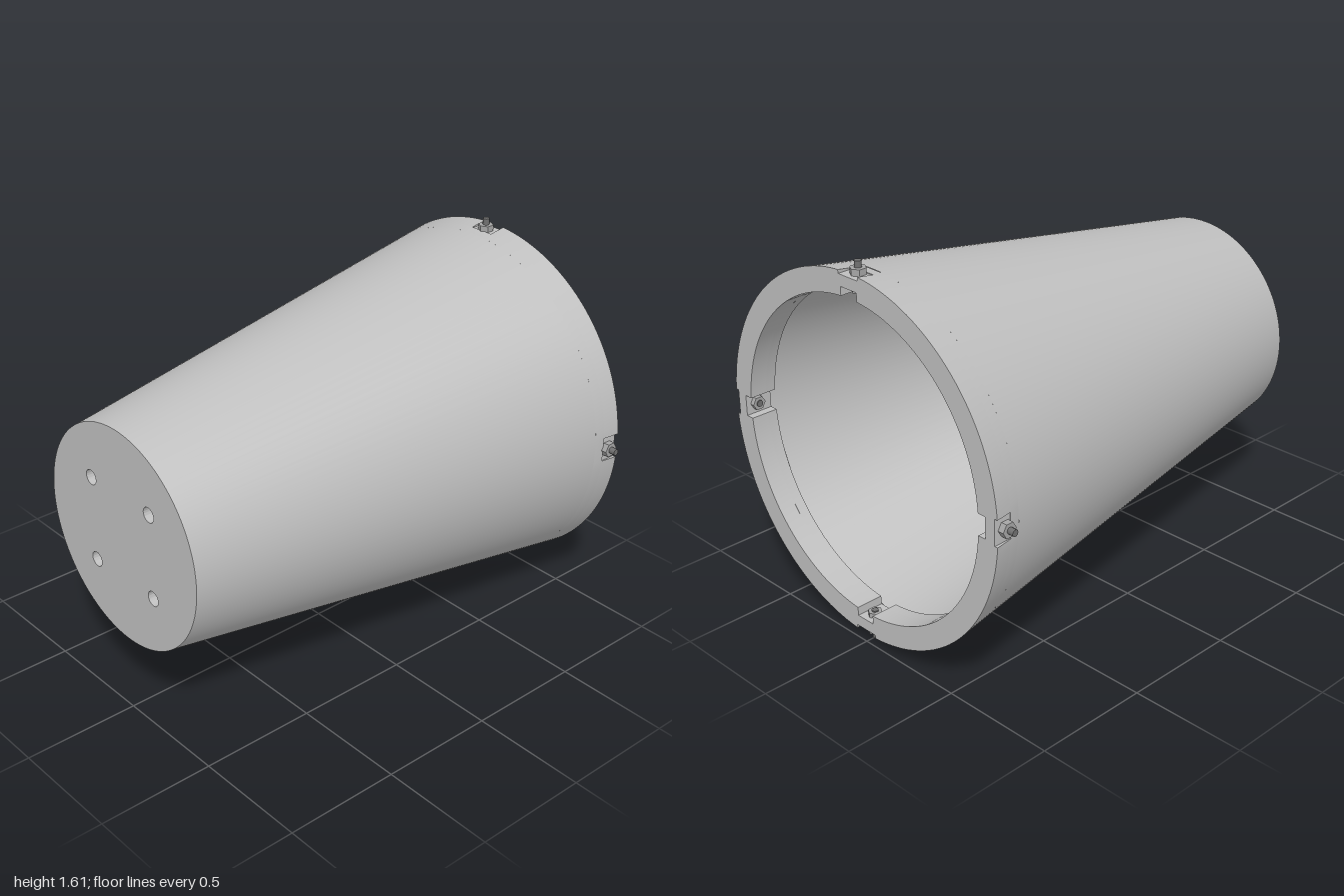
import * as THREE from 'three';
import { toCreasedNormals } from 'three/addons/utils/BufferGeometryUtils.js';

const CENTRE_Y = 0.807;
const coneRadius = (z) => 0.62 - 0.15 * z;

// Circle interrupted by four flats: outer notches (flat < r) or inner pockets (flat > r)
function notchedCircle(r, flat, halfWidth) {
  const pts = [];
  const delta = Math.asin(halfWidth / r);
  const steps = 32;
  for (let k = 0; k < 4; k++) {
    const a = (k * Math.PI) / 2;
    const c = Math.cos(a), s = Math.sin(a);
    if (flat !== r) {
      for (const w of [-halfWidth, halfWidth]) {
        pts.push(new THREE.Vector2(flat * c - w * s, flat * s + w * c));
      }
    }
    for (let i = 0; i <= steps; i++) {
      const t = a + delta + (i / steps) * (Math.PI / 2 - 2 * delta);
      pts.push(new THREE.Vector2(r * Math.cos(t), r * Math.sin(t)));
    }
  }
  return pts;
}

// Rim slice between two z positions, its outer skin following the cone
function rimSlice(z0, z1, outerFlat) {
  const shape = new THREE.Shape(notchedCircle(0.77, outerFlat, 0.055));
  shape.holes.push(new THREE.Path(notchedCircle(0.67, 0.705, 0.045)));
  const geo = new THREE.ExtrudeGeometry(shape, { depth: z1 - z0, bevelEnabled: false });
  geo.translate(0, 0, z0);
  const p = geo.attributes.position;
  for (let i = 0; i < p.count; i++) {
    const r = Math.hypot(p.getX(i), p.getY(i));
    if (r > 0.762) {
      const k = coneRadius(p.getZ(i)) / r;
      p.setXY(i, p.getX(i) * k, p.getY(i) * k);
    }
  }
  return toCreasedNormals(geo, 0.4);
}

export function createModel() {
  const model = new THREE.Group();
  model.name = 'taperedHousing';
  const body = new THREE.MeshStandardMaterial({ name: 'light grey', color: 0xbfbfbf });
  const nutGrey = new THREE.MeshStandardMaterial({ name: 'nut grey', color: 0xa6a6a6 });
  const boltGrey = new THREE.MeshStandardMaterial({ name: 'bolt grey', color: 0x707070 });

  const add = (parent, name, geo, mat) => {
    const mesh = new THREE.Mesh(geo, mat);
    mesh.name = name;
    parent.add(mesh);
    return mesh;
  };

  const core = new THREE.Group();
  core.name = 'housing';
  core.position.y = CENTRE_Y;
  model.add(core);

  // Hollow conical shell
  const wall = 0.03, zBack = -0.88;
  const profile = [
    [coneRadius(zBack), zBack],
    [coneRadius(1), 1],
    [coneRadius(1) - wall, 1],
    [coneRadius(zBack) - wall, zBack],
  ].map(([r, z]) => new THREE.Vector2(r, z));
  const shell = new THREE.LatheGeometry(profile, 128);
  shell.rotateX(Math.PI / 2);
  add(core, 'coneShell', toCreasedNormals(shell, 0.4), body);

  // Front plate with four through holes
  const disc = new THREE.Shape();
  disc.absarc(0, 0, coneRadius(1) - wall, 0, Math.PI * 2);
  for (const x of [-0.187, 0.187]) {
    for (const y of [-0.187, 0.187]) {
      const hole = new THREE.Path();
      hole.absarc(x, y, 0.032, 0, Math.PI * 2, true);
      disc.holes.push(hole);
    }
  }
  const plate = new THREE.ExtrudeGeometry(disc, { depth: 0.05, bevelEnabled: false, curveSegments: 64 });
  plate.translate(0, 0, 0.95);
  add(core, 'frontPlate', toCreasedNormals(plate, 0.4), body);

  // Thick rear flange: notched outside at the back, pocketed inside all through
  add(core, 'rearFlange', rimSlice(-1, -0.925, 0.753), body);
  add(core, 'flangeShoulder', rimSlice(-0.925, zBack, 0.77), body);

  // Radial bolts with an outer nut and an inner head
  for (let k = 0; k < 4; k++) {
    const bolt = new THREE.Group();
    bolt.name = 'radialBolt';
    bolt.rotation.z = (k * Math.PI) / 2;
    core.add(bolt);
    const pin = (name, geo, r, mat) => add(bolt, name, geo, mat).position.set(0, r, -0.95);
    pin('boltShank', new THREE.CylinderGeometry(0.014, 0.014, 0.127, 16), 0.7435, boltGrey);
    pin('hexNut', new THREE.CylinderGeometry(0.033, 0.033, 0.027, 6).toNonIndexed(), 0.766, nutGrey);
    pin('hexHead', new THREE.CylinderGeometry(0.03, 0.03, 0.02, 6).toNonIndexed(), 0.695, nutGrey);
  }
  // Crisp facets on the hex parts
  core.traverse((o) => {
    if (o.name.startsWith('hex')) o.geometry.computeVertexNormals();
  });

  return model;
}
